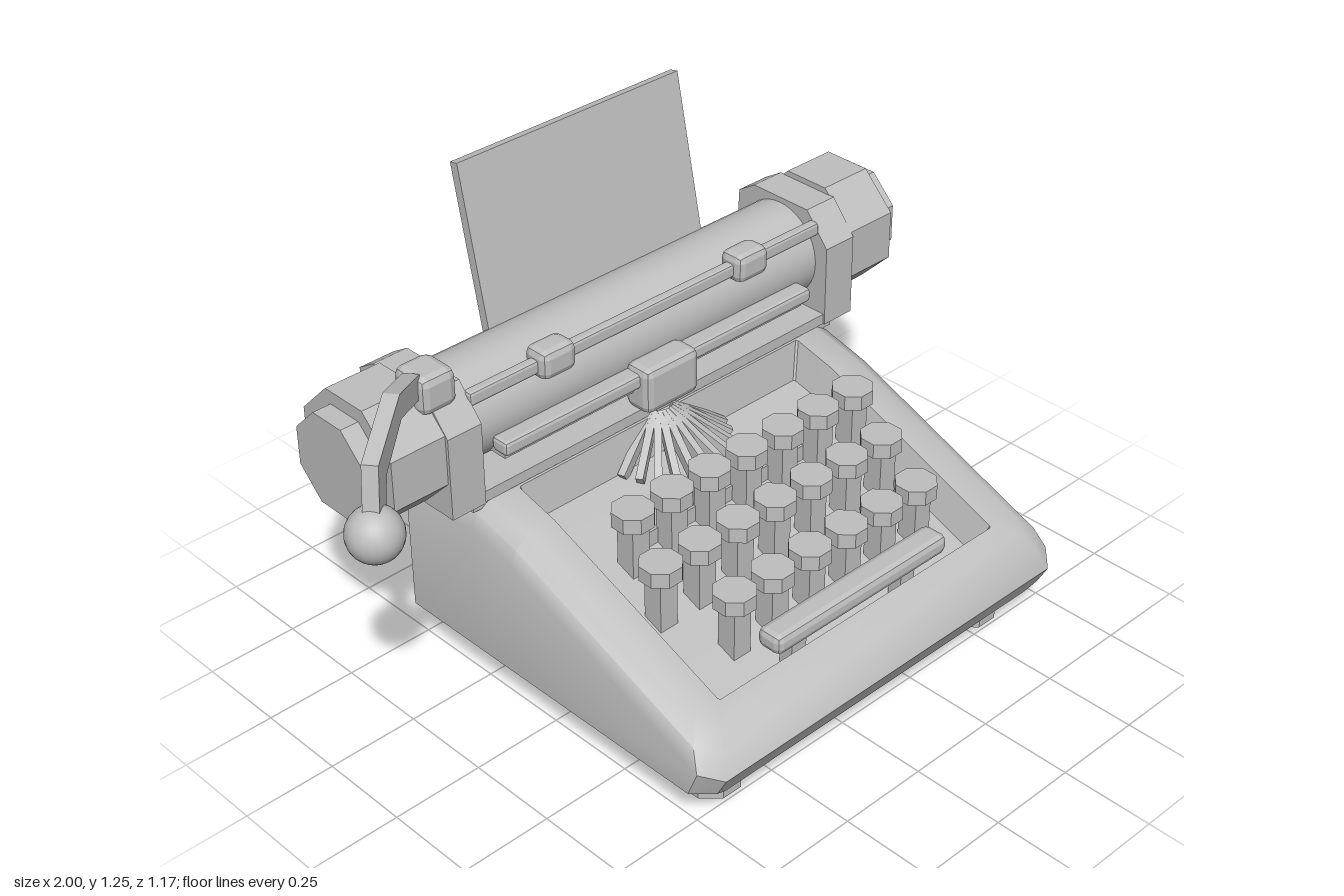
import * as THREE from 'three';
import { toCreasedNormals } from 'three/addons/utils/BufferGeometryUtils.js';
import { RoundedBoxGeometry } from 'three/addons/geometries/RoundedBoxGeometry.js';

const CX = 0.0935; // centre line of the body

export function createModel() {
  const model = new THREE.Group();
  const grey = new THREE.MeshStandardMaterial({ color: 0xbfbfbf });
  grey.name = 'plain grey';

  function add(name, geo, x = 0, y = 0, z = 0) {
    const mesh = new THREE.Mesh(geo, grey);
    mesh.name = name;
    mesh.position.set(x, y, z);
    model.add(mesh);
    return mesh;
  }
  function flat(geo) {
    const g = geo.index ? geo.toNonIndexed() : geo;
    g.computeVertexNormals();
    return g;
  }
  // boxes given by their limits
  const box = (name, x0, x1, y0, y1, z0, z1) =>
    add(name, new THREE.BoxGeometry(x1 - x0, y1 - y0, z1 - z0), (x0 + x1) / 2, (y0 + y1) / 2, (z0 + z1) / 2);
  const bevelBox = (name, x0, x1, y0, y1, z0, z1, r) =>
    add(name, flat(new RoundedBoxGeometry(x1 - x0, y1 - y0, z1 - z0, 1, r)),
      (x0 + x1) / 2, (y0 + y1) / 2, (z0 + z1) / 2);
  // eight-sided prism, flats square to the axes, across = distance between flats
  const octagon = (across, height) =>
    flat(new THREE.CylinderGeometry(across * 0.541, across * 0.541, height, 8).rotateY(Math.PI / 8));

  // body shell with a sunken key well, lofted upward then inward and down
  const top = (z) => {
    if (z > -0.1) return 0.505 - (z + 0.1) * 0.393;
    return z > -0.24 ? 0.505 + (-0.1 - z) * 0.25 : 0.54;
  };
  function ring(h, z0, z1, c, yOf) {
    const half = [[h - c, z1], [h, z1 - c], [h, Math.max(-0.1, z0 + c)],
      [h, Math.max(-0.24, z0 + c)], [h, z0 + c], [h - c, z0]];
    const mirrored = half.map(([x, z]) => [-x, z]).reverse();
    return [...half, ...mirrored].map(([x, z]) => [x + CX, yOf(z), z]);
  }
  const rings = [
    ring(0.585, -0.53, 0.545, 0.04, () => 0.09),
    ring(0.63, -0.545, 0.555, 0.048, () => 0.11),
    ring(0.63, -0.545, 0.585, 0.048, (z) => top(z) - 0.07),
    ring(0.612, -0.52, 0.555, 0.048, (z) => top(z) - 0.028),
    ring(0.57, -0.47, 0.51, 0.04, top),
    ring(0.4875, -0.23, 0.465, 0.005, top),
    ring(0.46, -0.21, 0.44, 0.005, (z) => top(z) - 0.1),
  ];
  const n = 12, index = [];
  const quad = (a, b, c, d) => index.push(a, b, c, a, c, d);
  for (let i = 0; i < rings.length - 1; i++) {
    for (let j = 0; j < n; j++) {
      const k = (j + 1) % n;
      quad(i * n + j, i * n + k, (i + 1) * n + k, (i + 1) * n + j);
    }
  }
  const last = (rings.length - 1) * n;
  for (let j = 0; j < 5; j++) {
    quad(last + j, last + j + 1, last + 10 - j, last + 11 - j);
    quad(11 - j, 10 - j, j + 1, j);
  }
  const shell = new THREE.BufferGeometry();
  shell.setAttribute('position', new THREE.Float32BufferAttribute(rings.flat(2), 3));
  shell.setIndex(index);
  add('body', toCreasedNormals(shell, 0.6));

  // feet
  for (const x of [-0.374, 0.561]) for (const z of [0.418, -0.41])
    add('foot', octagon(0.145, 0.1), x, 0.05, z);

  // keys: first x, count, z, height of the cap's underside
  const rows = [[-0.25, 7, 0.022, 0.49], [-0.297, 7, 0.168, 0.433], [-0.195, 6, 0.315, 0.375]];
  for (const [x0, count, z, y] of rows) {
    for (let i = 0; i < count; i++) {
      const x = x0 + i * 0.1295;
      add('keyCap', octagon(0.105, 0.042), x, y + 0.021, z);
      box('keyStem', x - 0.028, x + 0.028, top(z) - 0.12, y, z - 0.028, z + 0.028);
    }
  }
  bevelBox('spaceBar', -0.205, 0.4, 0.302, 0.357, 0.397, 0.473, 0.018);
  for (const x of [-0.1, 0.29]) box('spaceBarStem', x - 0.025, x + 0.025, 0.18, 0.31, 0.40, 0.44);

  // type bars fanned out over a rest
  box('typeBarRest', -0.19, 0.38, 0.33, 0.41, -0.15, 0.0);
  for (let i = -5; i <= 5; i++) {
    const fan = new THREE.Group();
    fan.name = 'typeBar';
    const bar = new THREE.Mesh(new THREE.BoxGeometry(0.02, 0.03, 0.19), grey);
    bar.name = 'typeBarArm';
    bar.position.set(0, -0.045, 0.11);
    bar.rotation.x = 0.6;
    fan.add(bar);
    fan.position.set(CX, 0.53, -0.255);
    fan.rotation.y = i * 0.25;
    model.add(fan);
  }

  // carriage tray
  box('carriageBase', -0.53, 0.72, 0.522, 0.548, -0.565, -0.24);
  box('carriageTray', -0.59, 0.78, 0.54, 0.57, -0.572, -0.235);

  // carriage ends, profile in z and y
  const endShape = new THREE.Shape([[-0.23, 0.54], [-0.23, 0.77], [-0.305, 0.86],
    [-0.5, 0.86], [-0.556, 0.825], [-0.572, 0.54]].map(([z, y]) => new THREE.Vector2(-z, y)));
  for (const x of [-0.6, 0.687])
    add('carriageEnd', new THREE.ExtrudeGeometry(endShape, { depth: 0.103, bevelEnabled: false })
      .rotateY(Math.PI / 2), x);

  // platen roller and its knobs
  const AY = 0.71, AZ = -0.404;
  add('platen', new THREE.CylinderGeometry(0.135, 0.135, 1.25, 40).rotateZ(Math.PI / 2), CX, AY, AZ);
  for (const s of [-1, 1]) {
    add('knob', octagon(0.332, 0.16).rotateZ(Math.PI / 2), CX + s * 0.774, AY, AZ);
    add('knobCap', octagon(0.254, 0.06).rotateZ(Math.PI / 2), CX + s * 0.876, AY + 0.003, AZ);
  }

  // paper rail with two rollers
  bevelBox('paperRail', -0.5, 0.69, 0.8, 0.838, -0.292, -0.262, 0.008);
  for (const x of [-0.237, 0.425])
    bevelBox('paperRoller', x - 0.054, x + 0.054, 0.783, 0.863, -0.315, -0.237, 0.02);

  // front scale and type guide
  bevelBox('frontScale', -0.435, 0.62, 0.645, 0.685, -0.275, -0.22, 0.01);
  box('frontScaleBacking', -0.42, 0.61, 0.625, 0.65, -0.3, -0.245);
  bevelBox('typeGuide', 0.003, 0.185, 0.573, 0.702, -0.28, -0.192, 0.02);

  // paper sheet leaning back
  const paper = add('paper', new THREE.BoxGeometry(0.727, 0.47, 0.026), CX, 1.02, -0.521);
  paper.rotation.x = -0.2;

  // return lever: bent arm cut from a side outline, with a ball grip
  bevelBox('leverMount', -0.632, -0.525, 0.82, 0.922, -0.385, -0.272, 0.022);
  const arm = new THREE.Shape([[-0.32, 0.925], [-0.215, 0.98], [-0.09, 0.925], [-0.075, 0.8],
    [-0.11, 0.8], [-0.125, 0.865], [-0.215, 0.915], [-0.32, 0.86]]
    .map(([z, y]) => new THREE.Vector2((z + 0.33) / 0.609, y)));
  const lever = add('leverArm', new THREE.ExtrudeGeometry(arm, { depth: 0.04, bevelEnabled: false })
    .translate(0, 0, -0.02), -0.61, 0, -0.33);
  lever.rotation.y = Math.atan2(-0.609, -0.793);
  add('leverGrip', new THREE.SphereGeometry(0.07, 24, 16), -0.93, 0.747, -0.083);

  return model;
}
